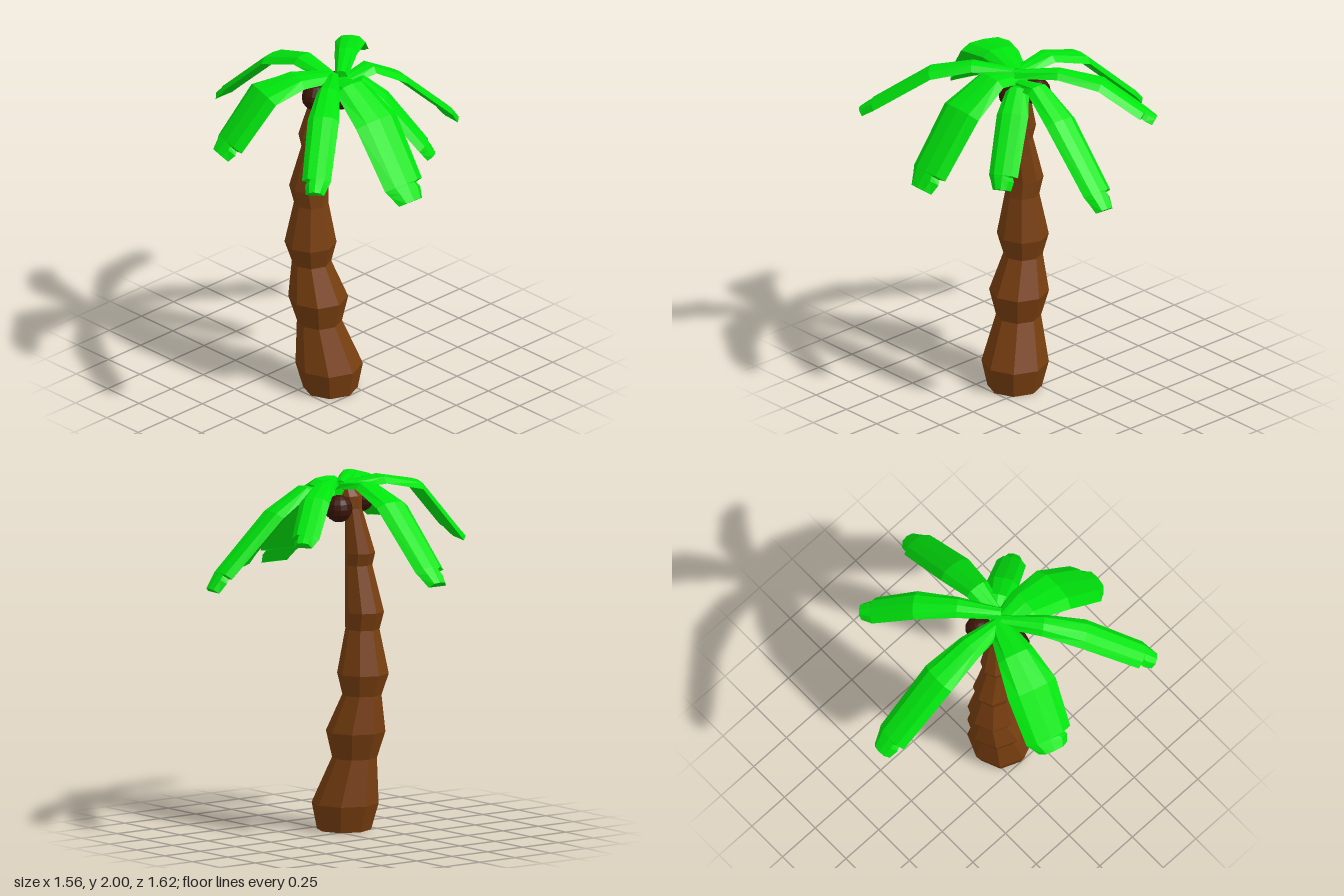
import * as THREE from 'three';

const paint = (color) => new THREE.MeshStandardMaterial({ color, flatShading: true });

// Skin a closed, capped surface over a list of equal-length rings of Vector3
function loft(rings) {
  const n = rings[0].length, last = (rings.length - 1) * n;
  const index = [];
  for (let i = 0; i < rings.length - 1; i++) {
    for (let j = 0; j < n; j++) {
      const a = i * n + j, b = i * n + (j + 1) % n;
      index.push(a, b, a + n, b, b + n, a + n);
    }
  }
  for (let k = 1; k < n - 1; k++) {
    index.push(0, k + 1, k, last, last + k, last + k + 1);
  }
  const geo = new THREE.BufferGeometry().setFromPoints(rings.flat());
  geo.setIndex(index);
  const flat = geo.toNonIndexed();
  flat.computeVertexNormals();
  return flat;
}

// Trunk rings: y, centre x, centre z, radius
const TRUNK = [
  [0, -0.095, 0.1, 0.152], [0.15, -0.098, 0.093, 0.188],
  [0.41, -0.125, 0.043, 0.126], [0.56, -0.128, 0.036, 0.167],
  [0.77, -0.14, -0.005, 0.11], [0.89, -0.145, -0.008, 0.145],
  [1.14, -0.145, -0.003, 0.096], [1.24, -0.148, -0.018, 0.11],
  [1.5, -0.14, 0.025, 0.077], [1.57, -0.14, 0.012, 0.085],
  [1.82, -0.115, 0.04, 0.048], [1.89, -0.11, 0.055, 0.062], [1.94, -0.1, 0.07, 0.04],
];

function trunkGeometry() {
  return loft(TRUNK.map(([y, cx, cz, r]) => Array.from({ length: 8 }, (_, j) => {
    const a = (j / 8) * Math.PI * 2;
    return new THREE.Vector3(cx + r * Math.cos(a), y, cz - r * Math.sin(a));
  })));
}

// Each frond: root x, z; crest height; tip point; half width; where it bends
// (fraction of length) and how far it has drooped there; notched edge
// (1 right, -1 left, looking outward)
const FRONDS = [
  { root: [-0.085, 0.12], crest: 1.995, tip: [-0.065, 1.515, -0.81], width: 0.105, bend: 0.54, sag: 0.17, notch: -1 },
  { root: [-0.06, 0.13], crest: 1.96, tip: [0.78, 1.435, 0.2], width: 0.1, bend: 0.52, sag: 0.24, notch: -1 },
  { root: [-0.05, 0.14], crest: 2, tip: [0.565, 1.745, -0.37], width: 0.085, bend: 0.62, sag: 0.19, notch: 1 },
  { root: [-0.03, 0.1], crest: 1.93, tip: [0.28, 1.49, 0.55], width: 0.09, bend: 0.5, sag: 0.22, notch: -1 },
  { root: [-0.09, 0.05], crest: 1.97, tip: [-0.13, 1.44, 0.805], width: 0.148, bend: 0.61, sag: 0.25, notch: -1 },
  { root: [-0.08, 0.11], crest: 1.995, tip: [-0.765, 1.665, 0.66], width: 0.088, bend: 0.55, sag: 0.17, notch: 1 },
  { root: [-0.08, 0.09], crest: 1.995, tip: [-0.765, 1.63, -0.12], width: 0.148, bend: 0.62, sag: 0.12, notch: -1 },
];

// Ridged cross-section: fraction of half width, height
const SECTION = [[-1, -0.038], [-0.6, -0.006], [0, 0], [0.6, -0.006], [1, -0.038], [0.5, -0.036], [-0.5, -0.036]];

function frondGeometry({ root, crest, tip, width, bend, sag, notch }) {
  const start = new THREE.Vector3(root[0], crest, root[1]);
  const end = new THREE.Vector3(...tip);
  // Fraction of length, fraction of droop, fraction of width, notch depth
  const stations = [
    [0, 0.08, 0.42, 1], [bend * 0.5, 0, 0.74, 1], [bend, sag, 1, 1], [0.92, 0.84, 0.92, 1],
    [0.927, 0.855, 0.89, 0.68], [0.95, 0.9, 0.78, 0.9], [1, 1, 0.58, 1],
  ].map(([t, droop, w, cut]) => {
    const p = start.clone().lerp(end, t);
    p.y = THREE.MathUtils.lerp(crest, end.y, droop);
    const half = w * width;
    return { p, l: notch < 0 ? half * cut : half, r: notch > 0 ? half * cut : half };
  });

  const up = new THREE.Vector3(0, 1, 0);
  return loft(stations.map(({ p, l, r }, i) => {
    const before = stations[Math.max(i - 1, 0)].p;
    const after = stations[Math.min(i + 1, stations.length - 1)].p;
    const along = after.clone().sub(before).normalize();
    const side = along.clone().cross(up).normalize();
    const normal = side.clone().cross(along);
    return SECTION.map(([u, v]) => p.clone()
      .addScaledVector(side, u * (u < 0 ? l : r))
      .addScaledVector(normal, v));
  }));
}

export function createModel() {
  const model = new THREE.Group();
  model.name = 'palmTree';
  const add = (name, geometry, material) => {
    const mesh = new THREE.Mesh(geometry, material);
    mesh.name = name;
    model.add(mesh);
    return mesh;
  };

  add('trunk', trunkGeometry(), paint(0x783e10));

  // Crown of drooping fronds
  const green = paint(0x00e60d);
  FRONDS.forEach((frond, i) => add(`frond${i + 1}`, frondGeometry(frond), green));

  // Coconuts clustered under the crown
  const shell = paint(0x3c1608);
  const nut = new THREE.SphereGeometry(0.077, 12, 8);
  [[0.003, 1.83, 0.02], [-0.213, 1.86, 0.1], [-0.06, 1.83, 0.15]].forEach((p, i) => {
    add(`coconut${i + 1}`, nut, shell).position.set(...p);
  });

  return model;
}
